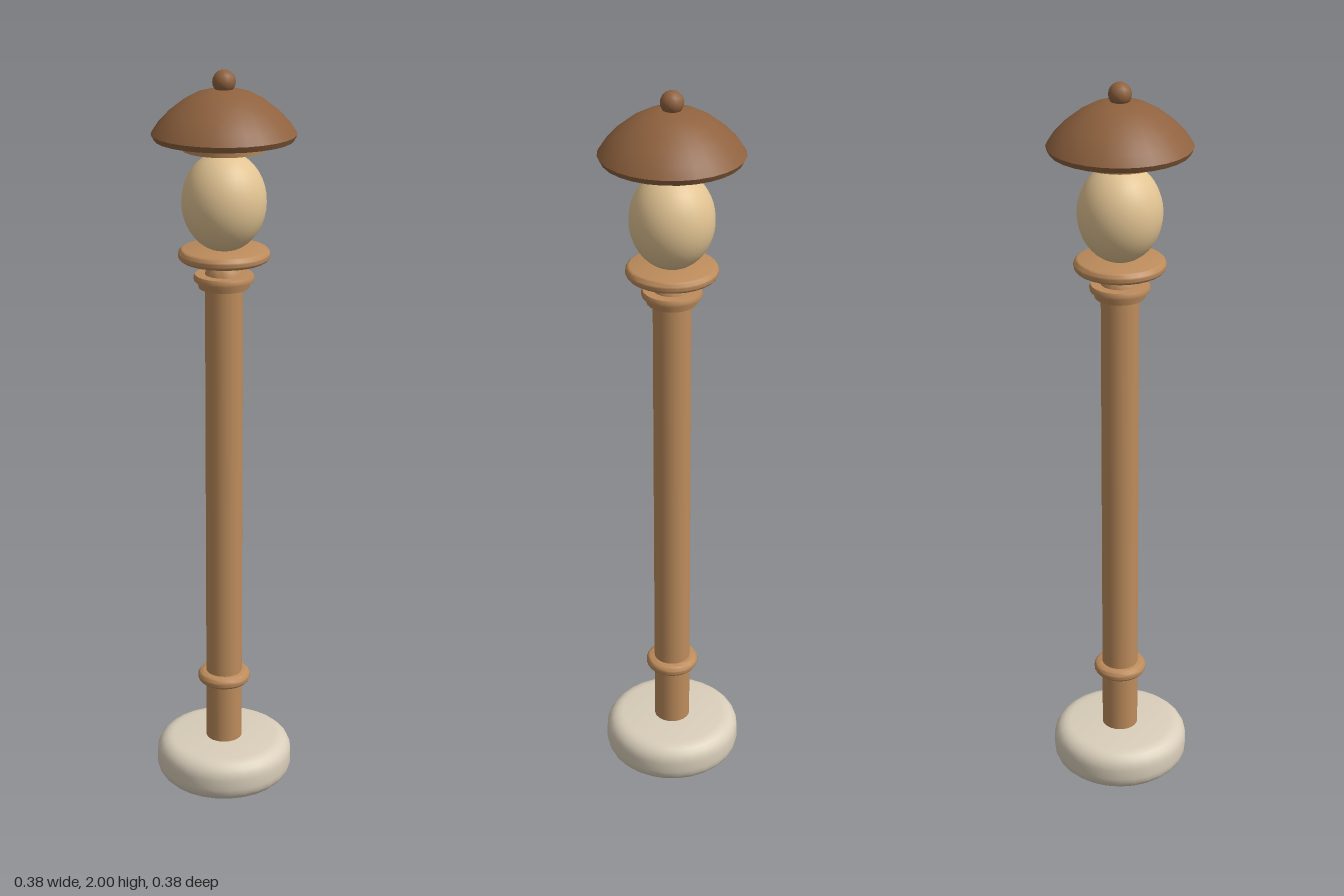
import * as THREE from 'three';
import { toCreasedNormals } from 'three/addons/utils/BufferGeometryUtils.js';

const material = (name, color) => {
  const m = new THREE.MeshStandardMaterial({ color });
  m.name = name;
  return m;
};

export function createModel() {
  const group = new THREE.Group();
  const wood = material('tan wood', 0xbd8c5c);
  const darkWood = material('brown wood', 0x8f623f);
  const glow = material('cream glass', 0xe2c493);
  const stone = material('pale stone', 0xd9ceba);

  const add = (name, geometry, mat, y = 0) => {
    const mesh = new THREE.Mesh(geometry, mat);
    mesh.name = name;
    mesh.position.y = y;
    group.add(mesh);
    return mesh;
  };

  // Turned part from [radius, height] pairs, bottom to top
  const turned = (name, profile, mat, sides = 28) => {
    const points = profile.map(([r, y]) => new THREE.Vector2(r, y));
    add(name, toCreasedNormals(new THREE.LatheGeometry(points, sides), 0.7), mat);
  };

  // Disc with a rounded edge
  const roundedDisc = (name, radius, bottom, top, bevel, mat) => {
    const profile = [[0, bottom]];
    for (const [y, start] of [[bottom + bevel, -Math.PI / 2], [top - bevel, 0]]) {
      for (let i = 0; i <= 5; i++) {
        const a = start + (i / 5) * Math.PI / 2;
        profile.push([radius - bevel + Math.cos(a) * bevel, y + Math.sin(a) * bevel]);
      }
    }
    profile.push([0, top]);
    turned(name, profile, mat);
  };

  // Foot and post
  roundedDisc('base', 0.19, 0, 0.12, 0.045, stone);
  add('post', new THREE.CylinderGeometry(0.05, 0.05, 1.34, 24), wood, 0.78);
  roundedDisc('lowerRing', 0.073, 0.292, 0.326, 0.0165, wood);

  // Capital and lamp tray
  turned('capital', [
    [0, 1.438], [0.066, 1.438], [0.07, 1.455], [0.078, 1.457], [0.08, 1.465],
    [0.076, 1.474], [0.05, 1.474], [0.046, 1.49], [0.036, 1.503], [0.024, 1.511], [0, 1.515],
  ], wood);
  roundedDisc('lampTray', 0.12, 1.51, 1.543, 0.016, wood);

  // Egg-shaped lamp
  add('lampGlobe', new THREE.SphereGeometry(0.11, 28, 20).scale(1, 1.18, 1), glow, 1.665);

  // Roof with its collar and finial
  add('roofCollar', new THREE.CylinderGeometry(0.11, 0.106, 0.035, 28), wood, 1.816);
  turned('roof', [
    [0, 1.825], [0.178, 1.825], [0.186, 1.84], [0.168, 1.867], [0.14, 1.896],
    [0.105, 1.923], [0.07, 1.942], [0.035, 1.951], [0, 1.953],
  ], darkWood);
  add('finial', new THREE.SphereGeometry(0.03, 14, 10), darkWood, 1.97);

  return group;
}
